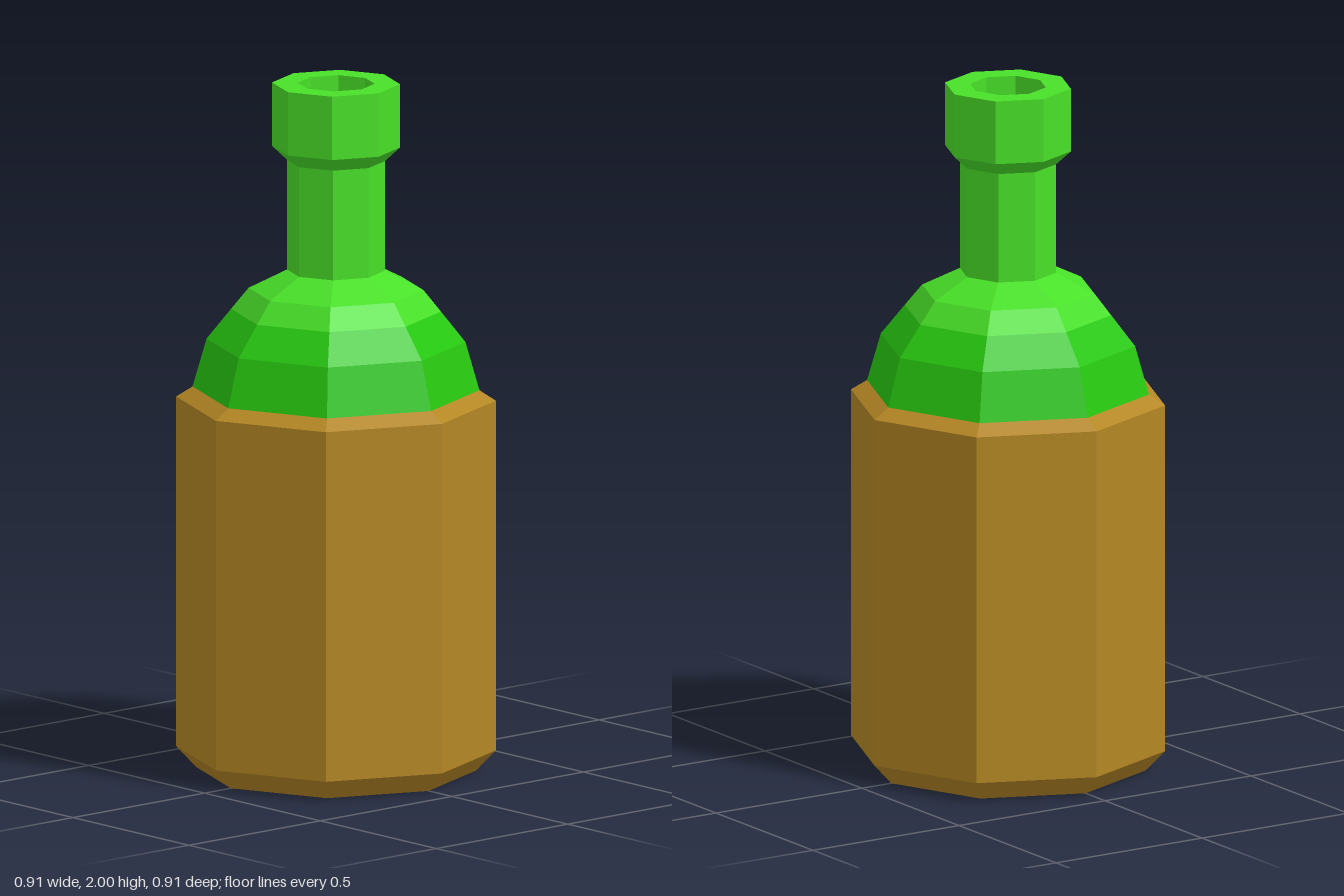
import * as THREE from 'three';

const SIDES = 8;

function material(name, color) {
  const m = new THREE.MeshStandardMaterial({ color, flatShading: true });
  m.name = name;
  return m;
}

// Faceted turned part from [radius, height] pairs
function turned(name, profile, mat) {
  const points = profile.map(([r, y]) => new THREE.Vector2(r, y));
  const mesh = new THREE.Mesh(new THREE.LatheGeometry(points, SIDES), mat);
  mesh.name = name;
  return mesh;
}

export function createModel() {
  const brown = material('brown wrap', 0xb48724);
  const green = material('deep green glass', 0x27c810);
  const lightGreen = material('light green glass', 0x48e028);

  const bottle = new THREE.Group();
  bottle.name = 'bottle';

  // Closed body with chamfered foot and top edge
  bottle.add(turned('body', [
    [0, 0], [0.4, 0], [0.457, 0.06], [0.457, 1.08], [0.41, 1.11], [0, 1.11],
  ], brown));

  // Lower shoulder
  bottle.add(turned('lowerShoulder', [
    [0.41, 1.11], [0.37, 1.25], [0.3, 1.338],
  ], green));

  // Upper shoulder
  bottle.add(turned('upperShoulder', [
    [0.3, 1.338], [0.25, 1.4], [0.14, 1.455],
  ], lightGreen));

  // Neck, flared lip and hollow mouth
  bottle.add(turned('neck', [
    [0.14, 1.455], [0.14, 1.775], [0.183, 1.815], [0.183, 2], [0.11, 2], [0.11, 1.455],
  ], lightGreen));

  return bottle;
}
